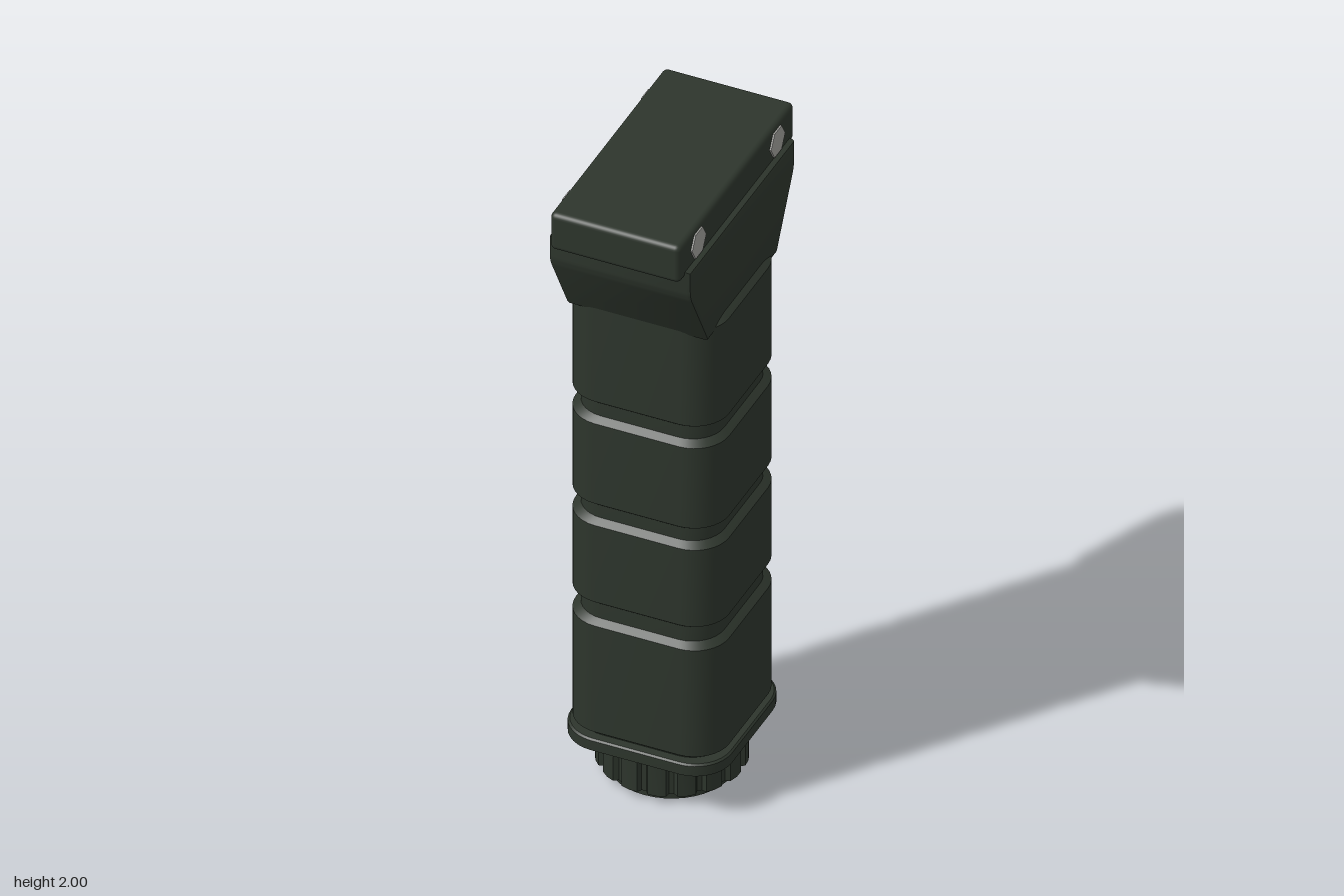
import * as THREE from 'three';
import { toCreasedNormals } from 'three/addons/utils/BufferGeometryUtils.js';
import { RoundedBoxGeometry } from 'three/addons/geometries/RoundedBoxGeometry.js';

// Points of a rounded square with the given half width and corner radius
function roundedSquare(half, radius, steps = 8) {
  const pts = [];
  for (let c = 0; c < 4; c++) {
    const mid = Math.PI / 4 + c * Math.PI / 2;
    const cx = Math.sign(Math.cos(mid)) * (half - radius);
    const cz = Math.sign(Math.sin(mid)) * (half - radius);
    for (let i = 0; i <= steps; i++) {
      const a = (c + i / steps) * Math.PI / 2;
      pts.push([cx + radius * Math.cos(a), cz + radius * Math.sin(a)]);
    }
  }
  return pts;
}

// Closed solid through rounded-square rings, each given as [y, half width]
function loft(profile, cornerRatio) {
  const pos = [], idx = [];
  let n = 0;
  for (const [y, half] of profile) {
    const ring = roundedSquare(half, half * cornerRatio);
    n = ring.length;
    for (const [x, z] of ring) pos.push(x, y, z);
  }
  const last = (profile.length - 1) * n;
  const bottom = pos.length / 3, top = bottom + 1;
  pos.push(0, profile[0][0], 0, 0, profile[profile.length - 1][0], 0);
  for (let i = 0; i < n; i++) {
    const j = (i + 1) % n;
    for (let k = 0; k < last; k += n) {
      idx.push(k + i, k + n + i, k + j, k + j, k + n + i, k + n + j);
    }
    idx.push(bottom, i, j, top, last + j, last + i);
  }
  const geo = new THREE.BufferGeometry();
  geo.setAttribute('position', new THREE.Float32BufferAttribute(pos, 3));
  geo.setIndex(idx);
  return toCreasedNormals(geo, 0.5);
}

export function createModel() {
  const group = new THREE.Group();
  const polymer = new THREE.MeshStandardMaterial({ color: 0x2d352c });
  polymer.name = 'dark green polymer';
  const steel = new THREE.MeshStandardMaterial({ color: 0x9c9c98 });
  steel.name = 'bolt steel';

  const add = (name, geo, mat = polymer) => {
    const mesh = new THREE.Mesh(geo, mat);
    mesh.name = name;
    group.add(mesh);
    return mesh;
  };

  // Handle: four chamfered segments separated by grooves
  const segments = [[0.188, 0.572], [0.62, 0.906], [0.947, 1.244], [1.286, 1.635]];
  const profile = [];
  segments.forEach(([low, high]) => profile.push(
    [low, 0.207], [low + 0.004, 0.212], [low + 0.016, 0.226],
    [high - 0.016, 0.226], [high - 0.004, 0.212], [high, 0.207]));
  add('handle', loft(profile, 0.45));

  // Collar under the handle
  add('collar', loft([[0.145, 0.232], [0.149, 0.237], [0.181, 0.237], [0.186, 0.232]], 0.45));
  add('collarNeck', loft([[0.18, 0.207], [0.2, 0.207]], 0.45));

  // Fluted cap knob
  const teeth = 16;
  const gear = [];
  for (let i = 0; i < teeth; i++) {
    for (const [t, r] of [[0, 0.194], [0.18, 0.194], [0.28, 0.207], [0.6, 0.209], [0.9, 0.207]]) {
      const a = (i + t) / teeth * Math.PI * 2;
      gear.push(new THREE.Vector2(r * Math.cos(a), r * Math.sin(a)));
    }
  }
  const knob = new THREE.ExtrudeGeometry(new THREE.Shape(gear), { depth: 0.12, bevelEnabled: false });
  knob.rotateX(-Math.PI / 2).translate(0, 0.028, 0);
  add('capKnob', toCreasedNormals(knob, 0.4));
  add('capBase', new THREE.CylinderGeometry(0.177, 0.177, 0.04, 40)).position.y = 0.02;

  // Flared head, a side profile extruded across the width
  const b = 0.01;
  const side = new THREE.Shape();
  side.moveTo(-0.215, 1.603 + b);
  side.lineTo(0.215, 1.603 + b);
  side.lineTo(0.315, 1.8);
  side.quadraticCurveTo(0.325, 1.82, 0.325, 1.84);
  side.lineTo(0.325, 1.9 - b);
  side.lineTo(-0.325, 1.9 - b);
  side.lineTo(-0.325, 1.84);
  side.quadraticCurveTo(-0.325, 1.82, -0.315, 1.8);
  side.closePath();
  const head = new THREE.ExtrudeGeometry(side, {
    depth: 0.4, bevelThickness: b, bevelSize: b, bevelSegments: 2, curveSegments: 6,
  });
  head.translate(0, 0, -0.2).rotateY(Math.PI / 2);
  add('flaredHead', toCreasedNormals(head, 0.4));

  // Mounting block with hexagonal bolts on both sides
  add('mountBlock', new RoundedBoxGeometry(0.384, 0.12, 0.736, 3, 0.016)).position.y = 1.94;
  for (const x of [-1, 1]) {
    for (const z of [-1, 1]) {
      const bolt = new THREE.CylinderGeometry(0.045, 0.045, 0.02, 6);
      bolt.rotateZ(Math.PI / 2);
      // the hexagon has its points towards front and back
      add('bolt', toCreasedNormals(bolt, 0.5), steel).position.set(x * 0.187, 1.945, z * 0.252);
    }
  }
  return group;
}
